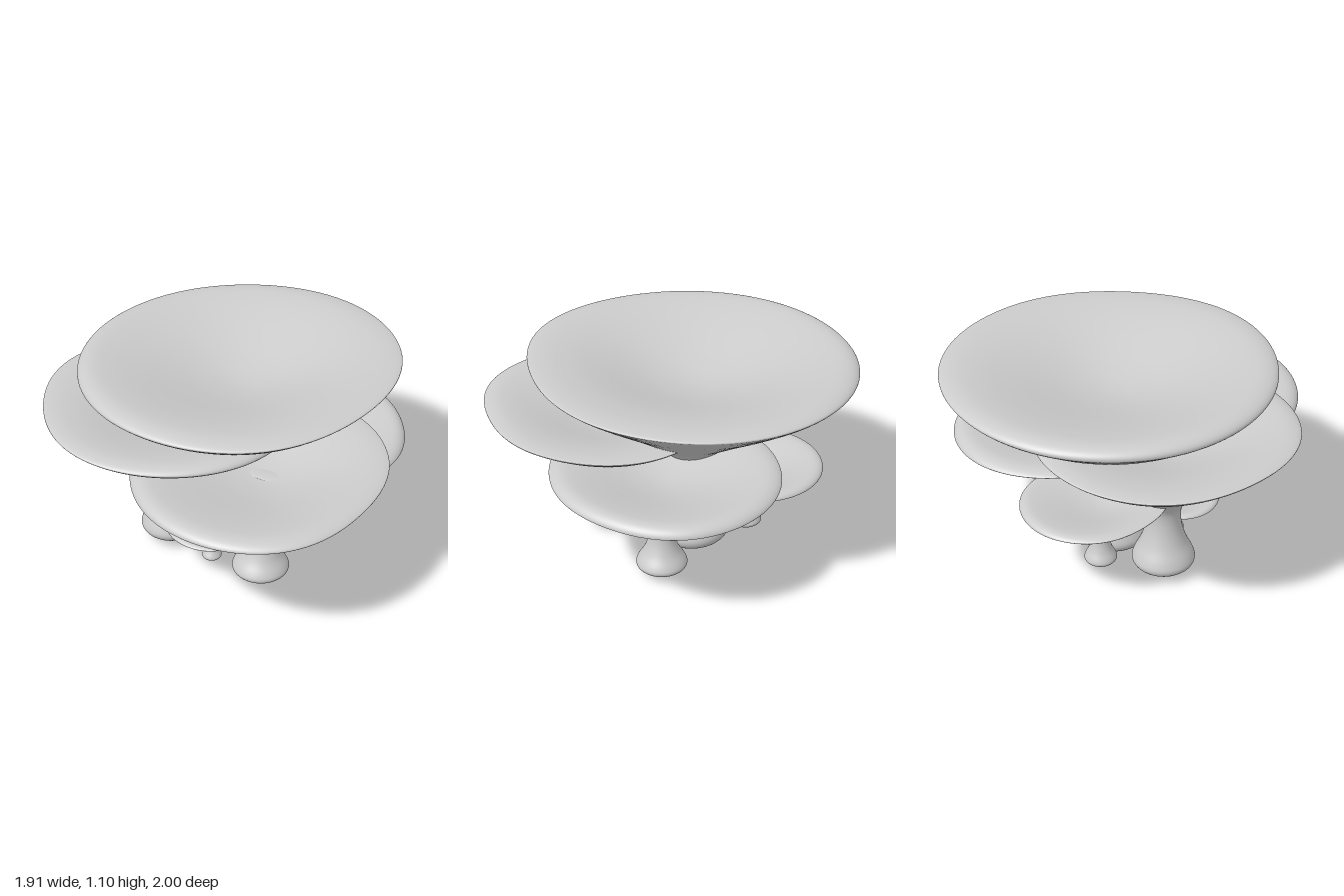
import * as THREE from 'three';
import { mergeVertices } from 'three/addons/utils/BufferGeometryUtils.js';

// foot underside: [height fraction up to the waist, fraction of the foot radius]
const SOLE = [[0, 0.2], [0.03, 0.57], [0.1, 0.87]];
// stem above the foot: [height fraction up to the waist, bulge beyond the waist]
const STEM = [[0.19, 1], [0.31, 0.87], [0.52, 0.42], [0.76, 0.1], [1, 0]];
// flared underside and thin lip: [height fraction above the waist, spread fraction]
const FLARE = [[0.12, 0.025], [0.25, 0.11], [0.42, 0.31], [0.6, 0.53], [0.78, 0.76], [0.9, 0.91], [0.96, 0.98], [0.982, 1], [0.994, 0.985]];

// x, z: stem axis; y0: underside of foot; foot, waist: radii; yw: waist height; top: lip height;
// rim: eight radii around the cap, from +x turning towards +z;
// droop, droopAngle: how far the lip rolls down, and on which side (degrees)
const MUSHROOMS = [
  { name: 'tallMushroom', x: 0.055, z: -0.16, y0: 0, foot: 0.2, waist: 0.11, yw: 0.45, top: 1.1,
    rim: [0.845, 0.815, 0.86, 0.84, 0.83, 0.825, 0.84, 0.865], droop: 0.04, droopAngle: 200 },
  { name: 'rightMushroom', x: -0.315, z: -0.13, y0: 0.02, foot: 0.165, waist: 0.088, yw: 0.37, top: 0.89,
    rim: [0.67, 0.69, 0.68, 0.675, 0.645, 0.675, 0.66, 0.66], droop: 0.035, droopAngle: 30 },
  { name: 'frontMushroom', x: 0.13, z: 0.3, y0: 0.04, foot: 0.15, waist: 0.072, yw: 0.3, top: 0.755,
    rim: [0.64, 0.625, 0.7, 0.695, 0.665, 0.64, 0.61, 0.66], droop: 0.04, droopAngle: 150 },
  { name: 'leftMushroom', x: 0.403, z: -0.18, y0: 0.02, foot: 0.132, waist: 0.065, yw: 0.26, top: 0.645,
    rim: [0.55, 0.555, 0.565, 0.55, 0.55, 0.58, 0.61, 0.6], droop: 0.045, droopAngle: -30 },
  { name: 'backMushroom', x: -0.12, z: -0.395, y0: 0.07, foot: 0.085, waist: 0.047, yw: 0.24, top: 0.485,
    rim: [0.37, 0.36, 0.36, 0.355, 0.345, 0.38, 0.405, 0.405], droop: 0.025, droopAngle: -60 },
  { name: 'smallMushroom', x: -0.115, z: 0.13, y0: 0.02, foot: 0.052, waist: 0.023, yw: 0.13, top: 0.268,
    rim: [0.23, 0.24, 0.25, 0.24, 0.24, 0.23, 0.23, 0.23], droop: 0.018, droopAngle: 180 },
];

// smooth periodic interpolation of the rim radii
function rimRadius(rim, angle) {
  const n = rim.length;
  const t = ((angle / (2 * Math.PI)) * n + n) % n;
  const i = Math.floor(t), f = t - i;
  const [a, b, c, d] = [-1, 0, 1, 2].map((k) => rim[(i + k + n) % n]);
  return b + 0.5 * f * (c - a + f * (2 * a - 5 * b + 4 * c - d + f * (3 * (b - c) + d - a)));
}

function mushroomGeometry({ y0, foot, waist, yw, top, rim, droop, droopAngle }) {
  const mean = rim.reduce((s, r) => s + r, 0) / rim.length;
  const points = [new THREE.Vector2(0, y0)];
  const add = (r, y) => points.push(new THREE.Vector2(r, y));
  for (const [v, b] of SOLE) add(foot * b, y0 + (yw - y0) * v);
  for (const [v, b] of STEM) add(waist + (foot - waist) * b, y0 + (yw - y0) * v);
  for (const [v, s] of FLARE) add(waist + (mean - waist) * s, yw + (top - yw) * v);
  // softly rounded dish on top, highest just inside the lip
  const depth = 0.18 * mean;
  for (const t of [0.93, 0.84, 0.7, 0.55, 0.4, 0.25, 0.1, 0]) {
    add(mean * t, top - depth * (0.5 + 0.5 * Math.cos((Math.PI * t) / 0.93)));
  }
  const profile = new THREE.SplineCurve(points).getPoints(125);
  profile.forEach((p) => { p.x = Math.max(p.x, 0); });
  profile[0].x = profile[profile.length - 1].x = 0;

  // stretch the round cap to its uneven rim, and roll and thicken the lip on one side
  let geometry = new THREE.LatheGeometry(profile, 96);
  const pos = geometry.attributes.position;
  const lowSide = THREE.MathUtils.degToRad(droopAngle);
  for (let i = 0; i < pos.count; i++) {
    const x = pos.getX(i), y = pos.getY(i), z = pos.getZ(i), r = Math.hypot(x, z);
    if (y < yw || r <= waist) continue;
    const angle = Math.atan2(z, x);
    const side = 0.5 + 0.5 * Math.cos(angle - lowSide);
    const spread = Math.min((r - waist) / (mean - waist), 1);
    const full = THREE.MathUtils.lerp(spread, 1 - (1 - spread) ** 1.4, spread * side);
    const s = (waist + full * (rimRadius(rim, angle) - waist)) / r;
    const roll = THREE.MathUtils.clamp((spread - 0.75) / 0.25, 0, 1) ** 2;
    pos.setXYZ(i, x * s, y - droop * roll * side, z * s);
  }
  // weld the seam for smooth normals all round
  geometry.deleteAttribute('uv');
  geometry.deleteAttribute('normal');
  geometry = mergeVertices(geometry, 1e-5);
  geometry.computeVertexNormals();
  return geometry;
}

export function createModel() {
  const group = new THREE.Group();
  group.name = 'mushroomCluster';
  const material = new THREE.MeshStandardMaterial({ color: 0xcccccc });
  for (const m of MUSHROOMS) {
    const mesh = new THREE.Mesh(mushroomGeometry(m), material);
    mesh.name = m.name;
    mesh.position.set(m.x, 0, m.z);
    group.add(mesh);
  }
  return group;
}
